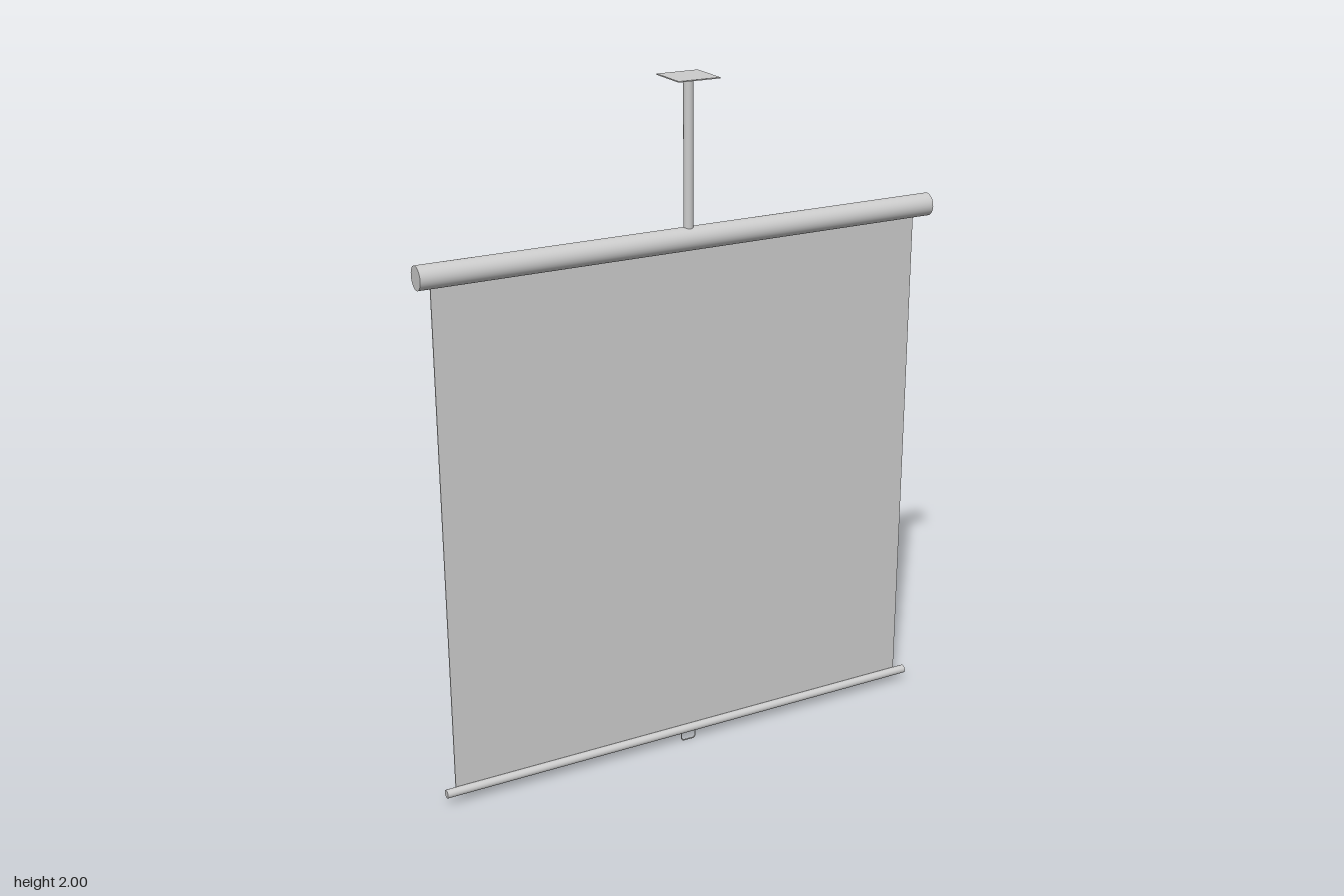
import * as THREE from 'three';

const material = new THREE.MeshStandardMaterial({ color: 0xcccccc });

export function createModel() {
  const model = new THREE.Group();

  function add(name, geometry, x, y, z) {
    const mesh = new THREE.Mesh(geometry, material);
    mesh.name = name;
    mesh.position.set(x, y, z);
    model.add(mesh);
    return mesh;
  }

  // Horizontal cylinder along x
  const bar = (radius, length) =>
    new THREE.CylinderGeometry(radius, radius, length, 32).rotateZ(Math.PI / 2);

  // Ceiling mount
  add('ceilingPlate', new THREE.BoxGeometry(0.124, 0.003, 0.124), 0, 1.9985, 0);
  add('mountPole', new THREE.CylinderGeometry(0.0135, 0.0135, 0.42, 24), 0, 1.788, 0);

  // Roller housing
  add('rollerCase', bar(0.033, 1.57), 0, 1.557, 0);

  // Hanging sheet, passing just behind the bottom bar
  add('screenSheet', new THREE.BoxGeometry(1.488, 1.5, 0.004), 0, 0.795, -0.01);

  // Weighted bottom bar
  add('bottomBar', bar(0.0125, 1.552), 0, 0.04, 0);

  // U-shaped wire pull handle
  const handlePath = new THREE.CurvePath();
  const points = [[-0.023, 0.032], [-0.023, 0.008], [-0.017, 0.002], [0.017, 0.002], [0.023, 0.008], [0.023, 0.032]]
    .map(([x, y]) => new THREE.Vector3(x, y, 0));
  for (let i = 1; i < points.length; i++) {
    handlePath.add(new THREE.LineCurve3(points[i - 1], points[i]));
  }
  add('pullHandle', new THREE.TubeGeometry(handlePath, 48, 0.002, 8), 0, 0, 0);

  return model;
}
